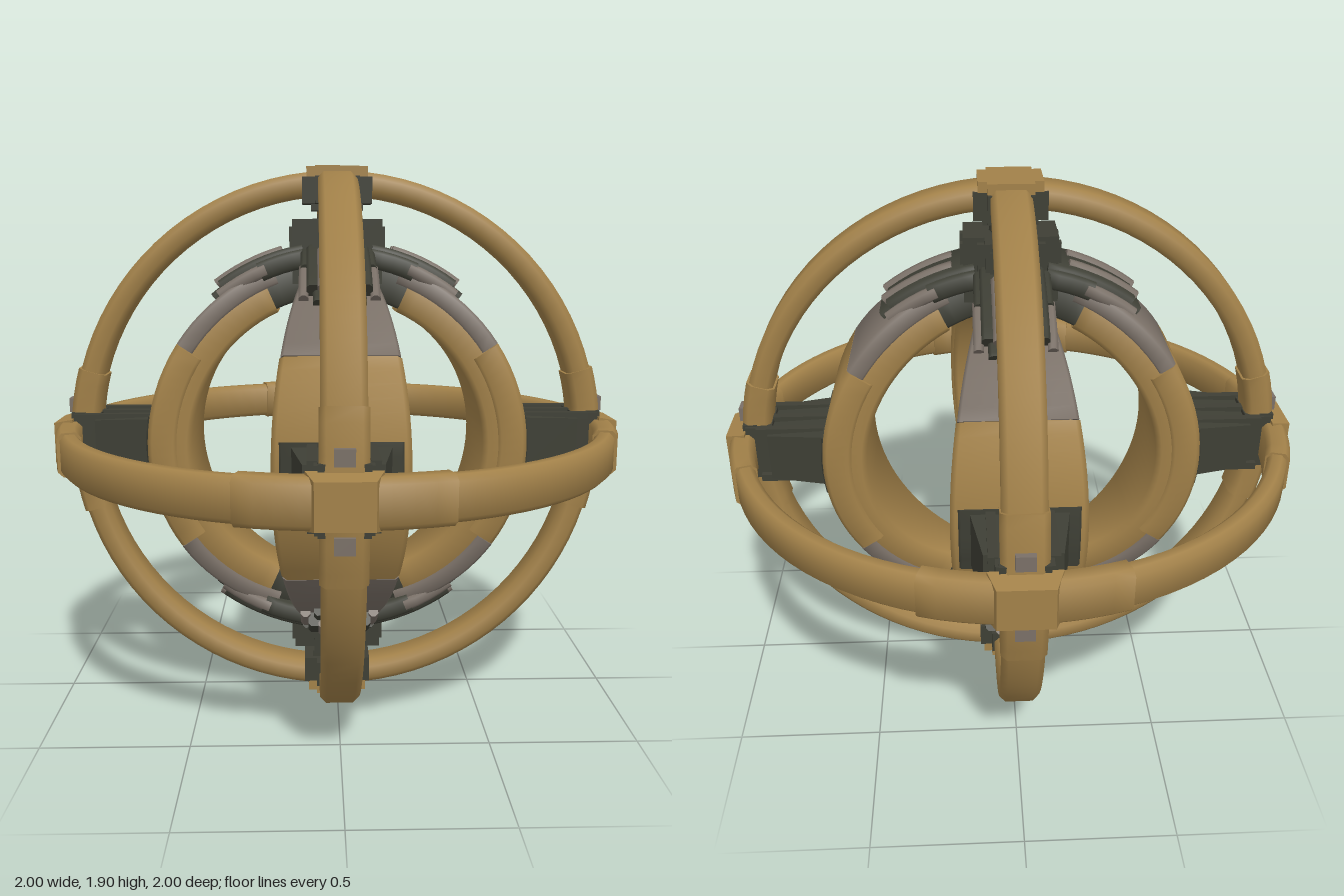
import * as THREE from 'three';
import { toCreasedNormals } from 'three/addons/utils/BufferGeometryUtils.js';

const CY = 0.953; // height of the centre
const RAD = Math.PI / 180;
const brass = new THREE.MeshStandardMaterial({ color: 0xa28149 });
brass.name = 'brass';
const grey = new THREE.MeshStandardMaterial({ color: 0x7a7067 });
grey.name = 'grey metal';
const dark = new THREE.MeshStandardMaterial({ color: 0x3e3f35 });
dark.name = 'dark metal';

// Bevelled bar bent along an arc in the xy plane, angles in degrees.
// half(angle) gives half the width along z; offset shifts it sideways.
function arcBar(r0, r1, half, a0, a1, b, offset = 0) {
  const n = Math.max(4, Math.ceil((a1 - a0) / 4));
  const pos = [], index = [];
  for (let i = 0; i <= n; i++) {
    const deg = a0 + (a1 - a0) * i / n, a = deg * RAD;
    const w = typeof half === 'function' ? half(deg) : half;
    const section = [
      [r0, -w + b], [r0 + b, -w], [r1 - b, -w], [r1, -w + b],
      [r1, w - b], [r1 - b, w], [r0 + b, w], [r0, w - b],
    ];
    for (const [r, z] of section) pos.push(r * Math.cos(a), r * Math.sin(a), z + offset);
  }
  for (let i = 0; i < n; i++) for (let j = 0; j < 8; j++) {
    const p = i * 8 + j, q = i * 8 + (j + 1) % 8;
    index.push(p, q, p + 8, q, q + 8, p + 8);
  }
  // End caps, left off when the bar closes on itself
  if (a1 - a0 < 360) for (let j = 1; j < 7; j++) {
    const e = n * 8;
    index.push(0, j + 1, j, e, e + j, e + j + 1);
  }
  // Orient the triangles outward using the signed volume
  let volume = 0;
  const v = k => new THREE.Vector3(pos[k * 3], pos[k * 3 + 1], pos[k * 3 + 2]);
  for (let i = 0; i < index.length; i += 3) volume += v(index[i]).dot(v(index[i + 1]).cross(v(index[i + 2])));
  if (volume < 0) index.reverse();
  const g = new THREE.BufferGeometry();
  g.setAttribute('position', new THREE.Float32BufferAttribute(pos, 3));
  g.setIndex(index);
  return toCreasedNormals(g, 0.9);
}

function add(parent, name, geometry, material, x = 0, y = 0, z = 0) {
  const mesh = new THREE.Mesh(geometry, material);
  mesh.name = name;
  mesh.position.set(x, y, z);
  parent.add(mesh);
  return mesh;
}

function box(parent, name, material, w, h, d, x, y, z) {
  return add(parent, name, new THREE.BoxGeometry(w, h, d), material, x, y, z);
}

// Bracket tapering along +x from x0 to x1
function taperBracket(x0, x1, h0, h1, d0, d1) {
  const g = new THREE.BoxGeometry(1, 2, 2), p = g.attributes.position;
  for (let i = 0; i < p.count; i++) {
    const far = p.getX(i) > 0;
    p.setXYZ(i, far ? x1 : x0, p.getY(i) * (far ? h1 : h0), p.getZ(i) * (far ? d1 : d0));
  }
  g.computeVertexNormals();
  return g;
}

// One inner band with its mounting bracket, facing +x
function buildBand() {
  const band = new THREE.Group();
  band.name = 'innerBand';
  const width = extra => deg => 0.045 + extra + 0.165 * Math.cos(deg * RAD);
  add(band, 'bandCore', arcBar(0.503, 0.64, width(-0.005), -66, 66, 0.018), brass);
  add(band, 'bandPanel', arcBar(0.55, 0.655, width(0.005), -33, 33, 0.016), brass);
  add(band, 'bracketCuff', arcBar(0.58, 0.662, 0.19, -9.5, 9.5, 0.008), dark);

  for (const s of [1, -1]) {
    const arc = (name, r0, r1, half, a0, a1, mat, off = 0) =>
      add(band, name, arcBar(r0, r1, half, s > 0 ? a0 : -a1, s > 0 ? a1 : -a0, 0.01, off), mat);
    arc('bandRoot', 0.515, 0.645, width(-0.005), 66, 84, dark);
    arc('bandGreyPlate', 0.59, 0.655, width(0.002), 33.2, 70, grey);
    arc('poleArm', 0.62, 0.7, 0.105, 54, 80, dark);
    arc('poleArmFoot', 0.62, 0.68, 0.085, 50, 54.5, dark);
    arc('poleArmShoulder', 0.62, 0.685, 0.125, 66, 80, dark);
    for (const side of [1, -1]) {
      arc('poleArmRail', 0.68, 0.712, 0.02, 53, 74, grey, side * 0.05);
      arc('poleArmEdge', 0.63, 0.676, 0.016, 52, 68, grey, side * 0.114);
    }
  }

  // Ribbed bracket joining the band to the outer rings
  add(band, 'bracketBody', taperBracket(0.64, 0.85, 0.095, 0.085, 0.155, 0.118), dark);
  for (const s of [1, -1]) for (const z of [-0.09, 0, 0.09]) {
    box(band, 'bracketRib', dark, 0.26, 0.025, 0.03, 0.76, s * 0.092, z);
  }
  box(band, 'ringClamp', dark, 0.09, 0.2, 0.17, 0.885, 0, 0);
  return band;
}

// Brass end plate and fittings where the outer rings cross, facing +x
function buildCrossing() {
  const joint = new THREE.Group();
  joint.name = 'ringCrossing';
  add(joint, 'crossingPlate', taperBracket(0.93, 1.0, 0.086, 0.07, 0.11, 0.085), brass);
  for (const s of [1, -1]) {
    box(joint, 'latch', grey, 0.035, 0.05, 0.06, 0.938, s * 0.125, 0);
    box(joint, 'latchSeat', dark, 0.05, 0.03, 0.15, 0.915, s * 0.09, 0);
    add(joint, 'verticalCollar', arcBar(0.85, 0.948, 0.071, s > 0 ? 5 : -16, s > 0 ? 16 : -5, 0.02), brass);
  }
  const collar = add(joint, 'horizontalCollar', arcBar(0.906, 0.988, 0.075, -18.5, 18.5, 0.018), brass);
  collar.rotation.x = Math.PI / 2;
  return joint;
}

// Hub and ring clamp at a pole, built for the top
function buildPole() {
  const pole = new THREE.Group();
  pole.name = 'pole';
  for (const turn of [0, Math.PI / 2]) {
    const arm = new THREE.Group();
    arm.name = 'hubCross';
    arm.rotation.y = turn;
    box(arm, 'hubBlock', dark, 0.31, 0.22, 0.17, 0, 0.665, 0);
    box(arm, 'hubStep', dark, 0.22, 0.24, 0.22, 0, 0.64, 0);
    for (const s of [1, -1]) for (const z of [-0.055, 0.055]) {
      box(arm, 'hubRib', dark, 0.02, 0.2, 0.03, s * 0.155, 0.65, z);
    }
    box(arm, 'poleClamp', dark, 0.24, 0.09, 0.15, 0, 0.872, 0);
    box(arm, 'poleClampFoot', dark, 0.18, 0.05, 0.11, 0, 0.83, 0);
    box(arm, 'poleCap', brass, 0.21, 0.035, 0.15, 0, 0.9345, 0);
    pole.add(arm);
  }
  add(pole, 'hubSkirt', new THREE.CylinderGeometry(0.14, 0.17, 0.09, 8), dark, 0, 0.56, 0);
  add(pole, 'hubNeck', new THREE.CylinderGeometry(0.055, 0.075, 0.12, 12), dark, 0, 0.8, 0);
  return pole;
}

export function createModel() {
  const model = new THREE.Group();
  model.name = 'armillaryOrb';
  const body = new THREE.Group();
  body.name = 'orb';
  body.position.y = CY;
  model.add(body);

  // Outer rings
  for (const turn of [0, Math.PI / 2]) {
    add(body, 'verticalRing', arcBar(0.857, 0.939, 0.066, 0, 360, 0.02), brass).rotation.y = turn;
  }
  add(body, 'horizontalRing', arcBar(0.912, 0.978, 0.069, 0, 360, 0.018), brass).rotation.x = Math.PI / 2;

  // Four inner bands and ring crossings
  for (let i = 0; i < 4; i++) {
    const quarter = new THREE.Group();
    quarter.name = 'quarter';
    quarter.rotation.y = i * Math.PI / 2;
    quarter.add(buildBand(), buildCrossing());
    body.add(quarter);
  }

  // Poles
  const top = buildPole(), bottom = buildPole();
  bottom.rotation.x = Math.PI;
  body.add(top, bottom);

  // Faceted core standing on one corner
  const core = new THREE.IcosahedronGeometry(0.225, 0);
  core.rotateZ(Math.atan(2 / (1 + Math.sqrt(5))));
  add(body, 'core', core, brass);
  return model;
}
